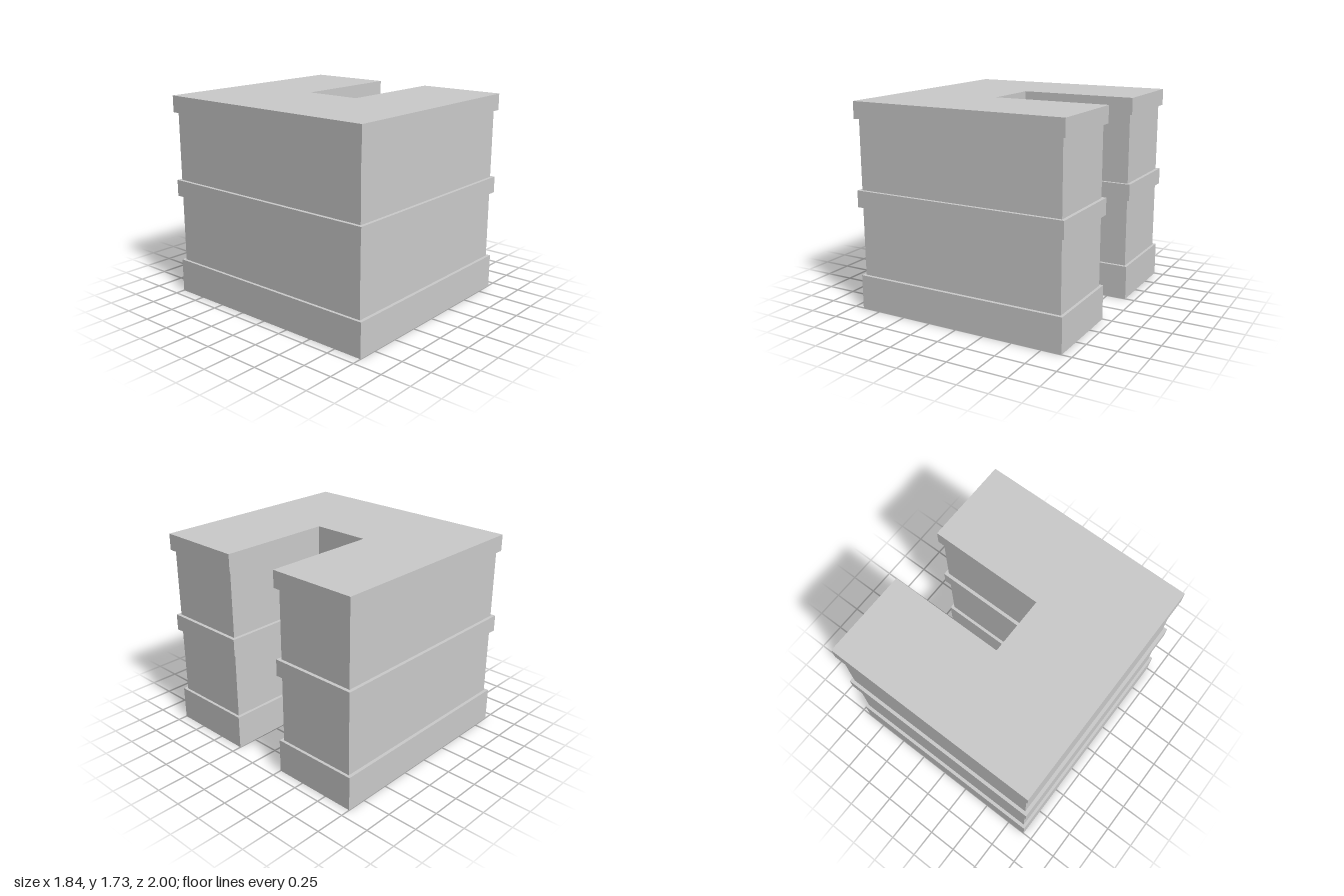
import * as THREE from 'three';

const material = new THREE.MeshStandardMaterial({ color: 0xcccccc, flatShading: true });

// U-shaped storey block, open toward +x, with a rectangular courtyard notch
function uBlock(name, halfX, halfZ, notchX, notchZ, y0, y1) {
  const shape = new THREE.Shape([
    [-halfX, -halfZ], [halfX, -halfZ], [halfX, -notchZ], [notchX, -notchZ],
    [notchX, notchZ], [halfX, notchZ], [halfX, halfZ], [-halfX, halfZ],
  ].map(([x, y]) => new THREE.Vector2(x, y)));
  const geometry = new THREE.ExtrudeGeometry(shape, { depth: y1 - y0, bevelEnabled: false });
  geometry.rotateX(-Math.PI / 2).translate(0, y0, 0);
  const mesh = new THREE.Mesh(geometry, material);
  mesh.name = name;
  return mesh;
}

export function createModel() {
  const group = new THREE.Group();
  group.name = 'building';

  // Plinth, two storeys of walls, and the projecting bands above each
  group.add(
    uBlock('plinth', 0.917, 1, -0.06, 0.25, 0, 0.29),
    uBlock('lowerWalls', 0.893, 0.972, -0.088, 0.277, 0.29, 0.87),
    uBlock('middleBand', 0.922, 1, -0.06, 0.248, 0.87, 1.01),
    uBlock('upperWalls', 0.893, 0.972, -0.088, 0.277, 1.01, 1.59),
    uBlock('roofBand', 0.922, 1, -0.06, 0.248, 1.59, 1.73),
  );

  // Entrance ramp rising to the plinth top
  const profile = new THREE.Shape([
    new THREE.Vector2(-0.06, 0), new THREE.Vector2(0.31, 0), new THREE.Vector2(-0.06, 0.29),
  ]);
  const rampGeometry = new THREE.ExtrudeGeometry(profile, { depth: 0.5, bevelEnabled: false });
  const ramp = new THREE.Mesh(rampGeometry.translate(0, 0, -0.25), material);
  ramp.name = 'entranceRamp';
  group.add(ramp);

  // Door panel on the inner courtyard wall
  const door = new THREE.Mesh(new THREE.BoxGeometry(0.02, 0.395, 0.25), material);
  door.name = 'door';
  door.position.set(-0.088, 0.505, 0);
  group.add(door);

  return group;
}
